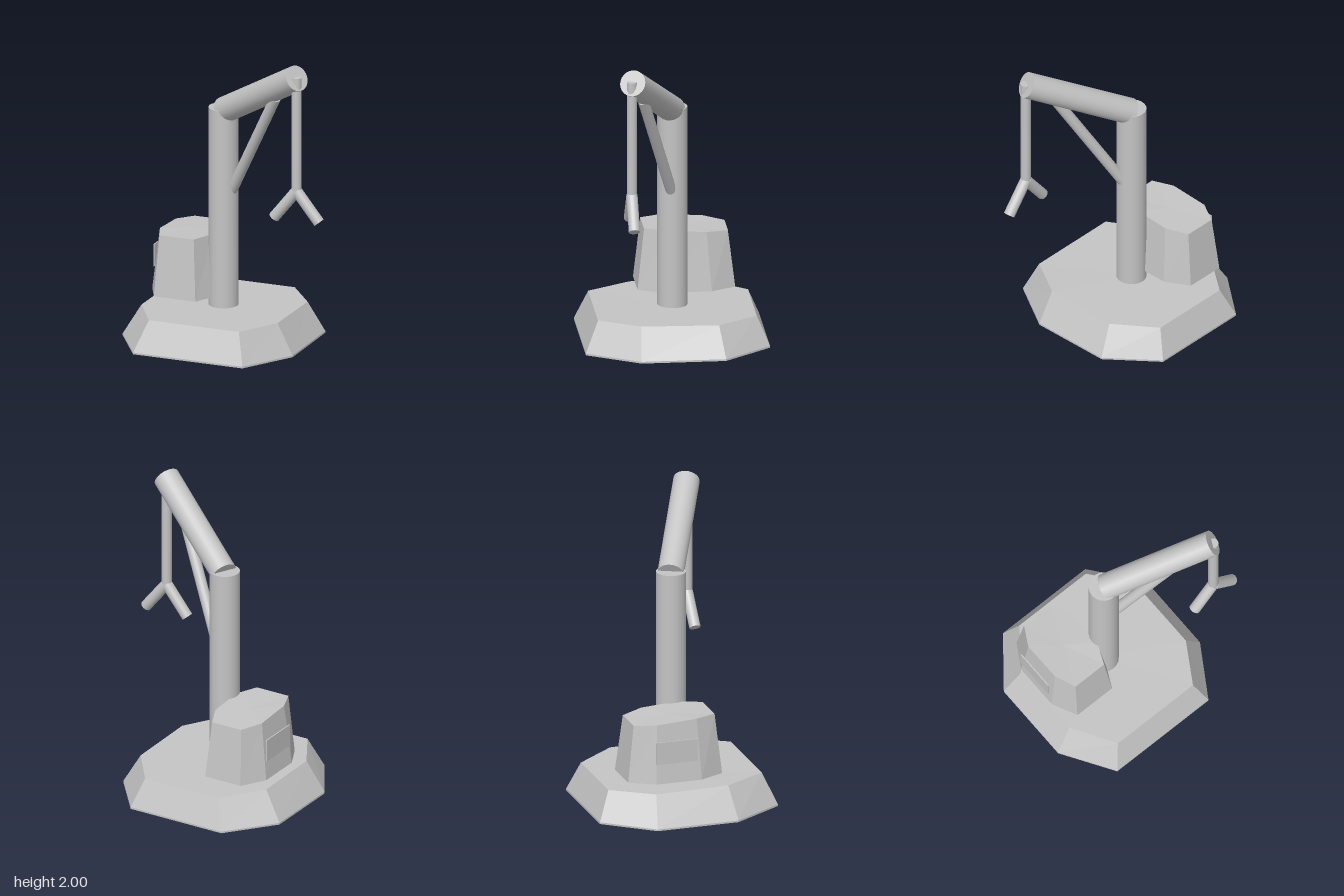
import * as THREE from 'three';

const grey = new THREE.MeshStandardMaterial({ color: 0xc4c4c4 });

// Capped, faceted solid through rings of corners listed clockwise from above
function loft(name, rings) {
  const pos = [];
  const tri = (...pts) => pts.forEach(p => pos.push(...p));
  const n = rings[0].length;
  const centre = ring => [0, 1, 2].map(k => ring.reduce((s, p) => s + p[k], 0) / n);
  const first = rings[0], last = rings[rings.length - 1];
  for (let i = 0; i < n; i++) {
    const j = (i + 1) % n;
    tri(centre(first), first[i], first[j]);
    tri(centre(last), last[j], last[i]);
    for (let r = 0; r + 1 < rings.length; r++) {
      const a = rings[r], b = rings[r + 1];
      tri(a[i], b[i], a[j]);
      tri(a[j], b[i], b[j]);
    }
  }
  const geo = new THREE.BufferGeometry();
  geo.setAttribute('position', new THREE.Float32BufferAttribute(pos, 3));
  geo.computeVertexNormals();
  const mesh = new THREE.Mesh(geo, grey);
  mesh.name = name;
  return mesh;
}

// Place an [x, z] outline at a height that may depend on z
const ring = (outline, height) => outline.map(([x, z]) => [x, height(z), z]);

// Round bar between two points
function bar(name, from, to, radius, sides = 20) {
  const a = new THREE.Vector3(...from), b = new THREE.Vector3(...to);
  const dir = b.clone().sub(a);
  const mesh = new THREE.Mesh(new THREE.CylinderGeometry(radius, radius, dir.length(), sides), grey);
  mesh.position.copy(a).add(b).multiplyScalar(0.5);
  mesh.quaternion.setFromUnitVectors(new THREE.Vector3(0, 1, 0), dir.normalize());
  mesh.name = name;
  return mesh;
}

export function createModel() {
  const model = new THREE.Group();
  model.name = 'crane';

  // Sloping eight-sided base
  const baseLow = [[-0.47, -0.6], [0.22, -0.6], [0.47, -0.29], [0.47, 0.26],
    [0.26, 0.6], [-0.505, 0.6], [-0.72, 0.26], [-0.72, -0.29]];
  const baseHigh = [[-0.4, -0.52], [0.16, -0.52], [0.36, -0.255], [0.36, 0.25],
    [0.2, 0.515], [-0.43, 0.515], [-0.6, 0.23], [-0.6, -0.26]];
  model.add(loft('base', [
    ring(baseLow, () => 0),
    ring(baseLow, () => 0.012),
    ring(baseHigh, z => 0.215 + Math.min(z, 0) * 0.027),
  ]));

  // Tapered cabin hovering over the base, its roof dropping to the back
  const cabinLow = [[-0.505, -0.42], [-0.235, -0.42], [-0.15, -0.26], [-0.15, 0.05],
    [-0.23, 0.215], [-0.52, 0.215], [-0.6, 0.05], [-0.6, -0.26]];
  const cabinHigh = [[-0.48, -0.375], [-0.26, -0.375], [-0.195, -0.23], [-0.195, 0.02],
    [-0.26, 0.17], [-0.5, 0.17], [-0.555, 0.03], [-0.555, -0.24]];
  model.add(loft('cabin', [
    ring(cabinLow, () => 0.275),
    ring(cabinHigh, z => 0.68 + Math.min(z + 0.05, 0) * 0.09),
  ]));

  // Upright panel on the side of the cabin
  const panel = new THREE.Mesh(new THREE.BoxGeometry(0.008, 0.15, 0.28), grey);
  panel.position.set(-0.601, 0.485, -0.12);
  panel.name = 'cabinPanel';
  model.add(panel);

  // Tower, boom and brace
  model.add(bar('tower', [-0.122, 0.19, 0], [-0.122, 1.55, 0], 0.098));
  model.add(bar('boom', [-0.115, 1.53, 0], [0.525, 1.922, 0.323], 0.086, 24));
  model.add(bar('brace', [-0.055, 1.0, 0.015], [0.34, 1.74, 0.235], 0.036));

  // Hanging rod with a two-armed grab
  model.add(bar('hangingRod', [0.526, 1.15, 0.328], [0.526, 1.93, 0.328], 0.033));
  for (const side of [-1, 1]) {
    model.add(bar(side > 0 ? 'leftGrabArm' : 'rightGrabArm',
      [0.526, 1.158, 0.328], [0.526 + side * 0.157, 0.962, 0.328], 0.037));
  }
  return model;
}
